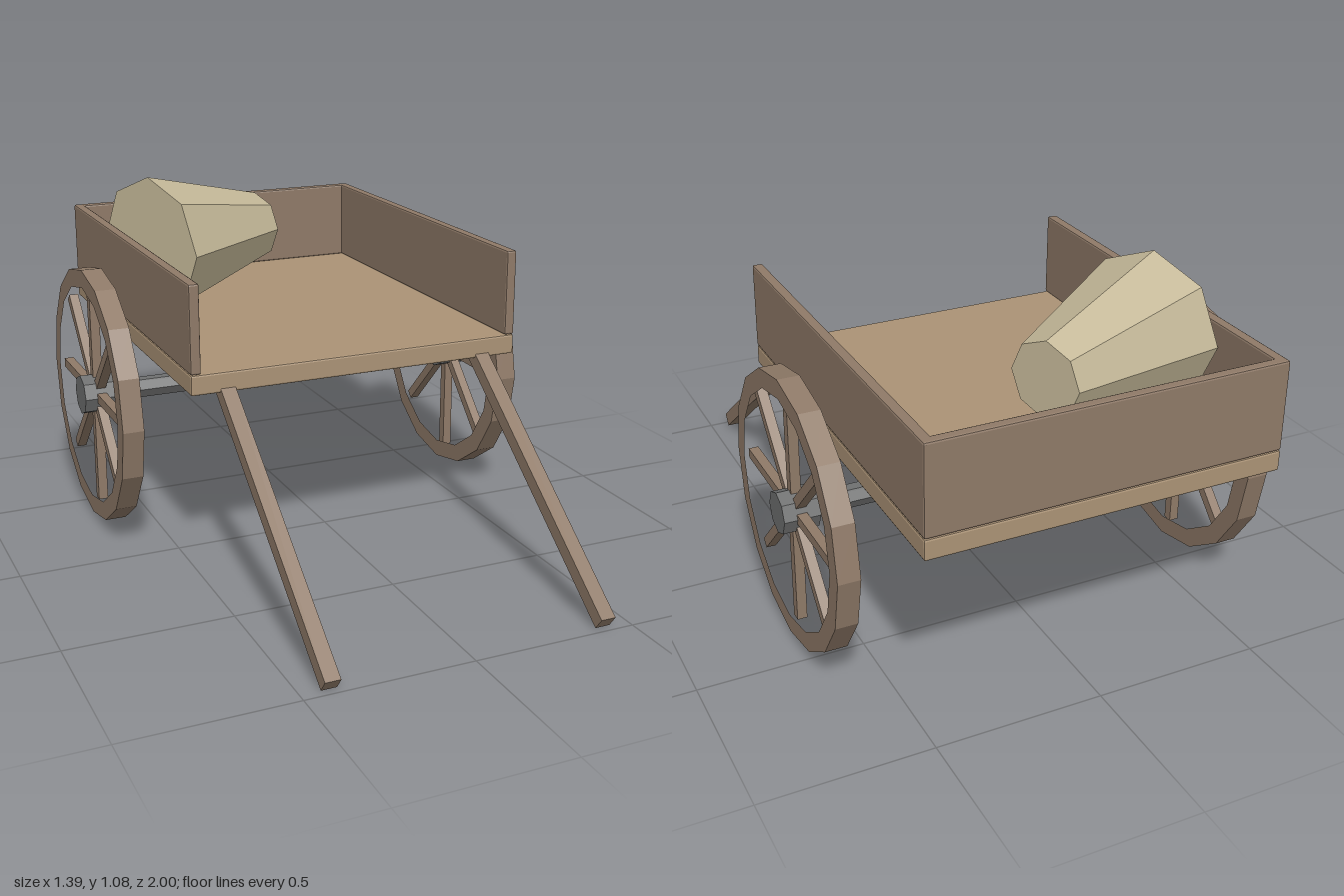
import * as THREE from 'three';
import { RoundedBoxGeometry } from 'three/addons/geometries/RoundedBoxGeometry.js';

const mat = (color) => new THREE.MeshStandardMaterial({ color, flatShading: true });
const wood = mat(0x8f7a68), plank = mat(0xab9376), iron = mat(0x6f7070), sacking = mat(0xc4b898);

function add(parent, name, geometry, material, x = 0, y = 0, z = 0) {
  const mesh = new THREE.Mesh(geometry, material);
  mesh.name = name;
  mesh.position.set(x, y, z);
  parent.add(mesh);
  return mesh;
}

// Box with slightly chamfered edges
const board = (w, h, d) => new RoundedBoxGeometry(w, h, d, 1, 0.006);

function polygon(Type, radius, sides) {
  const points = [];
  for (let i = 0; i < sides; i++) {
    const a = (i / sides) * Math.PI * 2;
    points.push(new THREE.Vector2(Math.sin(a) * radius, Math.cos(a) * radius));
  }
  return new Type(points);
}

// Wheel centred on its hub, with its axis along x
function createWheel(name) {
  const wheel = new THREE.Group();
  wheel.name = name;
  const ring = polygon(THREE.Shape, 0.41, 16);
  ring.holes.push(polygon(THREE.Path, 0.352, 16));
  const rim = new THREE.ExtrudeGeometry(ring, { depth: 0.066, bevelEnabled: false });
  rim.translate(0, 0, -0.033).rotateY(Math.PI / 2);
  add(wheel, 'rim', rim, wood);
  for (let i = 0; i < 8; i++) {
    const spoke = new THREE.BoxGeometry(0.03, 0.32, 0.03).translate(0, 0.205, 0);
    add(wheel, 'spoke', spoke, wood).rotation.x = (i * Math.PI) / 4;
  }
  add(wheel, 'hub', new THREE.CylinderGeometry(0.064, 0.064, 0.108, 8).rotateZ(Math.PI / 2), iron);
  return wheel;
}

export function createModel() {
  const cart = new THREE.Group();
  cart.name = 'cart';

  // Bed and its three walls; the front stays open
  add(cart, 'bed', board(1.06, 0.062, 1.26), plank, 0, 0.616, -0.37);
  add(cart, 'backWall', board(1.06, 0.267, 0.032), wood, 0, 0.781, -0.984);
  for (const side of [-1, 1]) {
    add(cart, 'sideWall', board(0.032, 0.267, 1.26), wood, side * 0.514, 0.781, -0.37);
  }

  // Axle and wheels
  const axleY = 0.421, axleZ = -0.367;
  add(cart, 'axle', new THREE.CylinderGeometry(0.034, 0.034, 1.3, 6).rotateZ(Math.PI / 2), iron, 0, axleY, axleZ);
  for (const side of [-1, 1]) {
    const wheel = createWheel(side > 0 ? 'leftWheel' : 'rightWheel');
    wheel.position.set(side * 0.642, axleY, axleZ);
    cart.add(wheel);
  }

  // Pulling shafts, sloping from the bed to the ground
  const low = new THREE.Vector2(0.987, 0.018), high = new THREE.Vector2(0.2, 0.615);
  const slope = Math.atan2(high.y - low.y, low.x - high.x);
  for (const side of [-1, 1]) {
    const shaft = new THREE.BoxGeometry(0.046, 0.045, low.distanceTo(high));
    add(cart, 'shaft', shaft, wood, side * 0.418, (low.y + high.y) / 2, (low.x + high.x) / 2).rotation.x = slope;
  }

  // Tapered load lying on its side in the bed
  const load = new THREE.CylinderGeometry(0.115, 0.231, 0.483, 8).rotateZ(-Math.PI / 2);
  add(cart, 'load', load, sacking, -0.178, 0.849, -0.616).rotation.y = 0.4;

  return cart;
}
